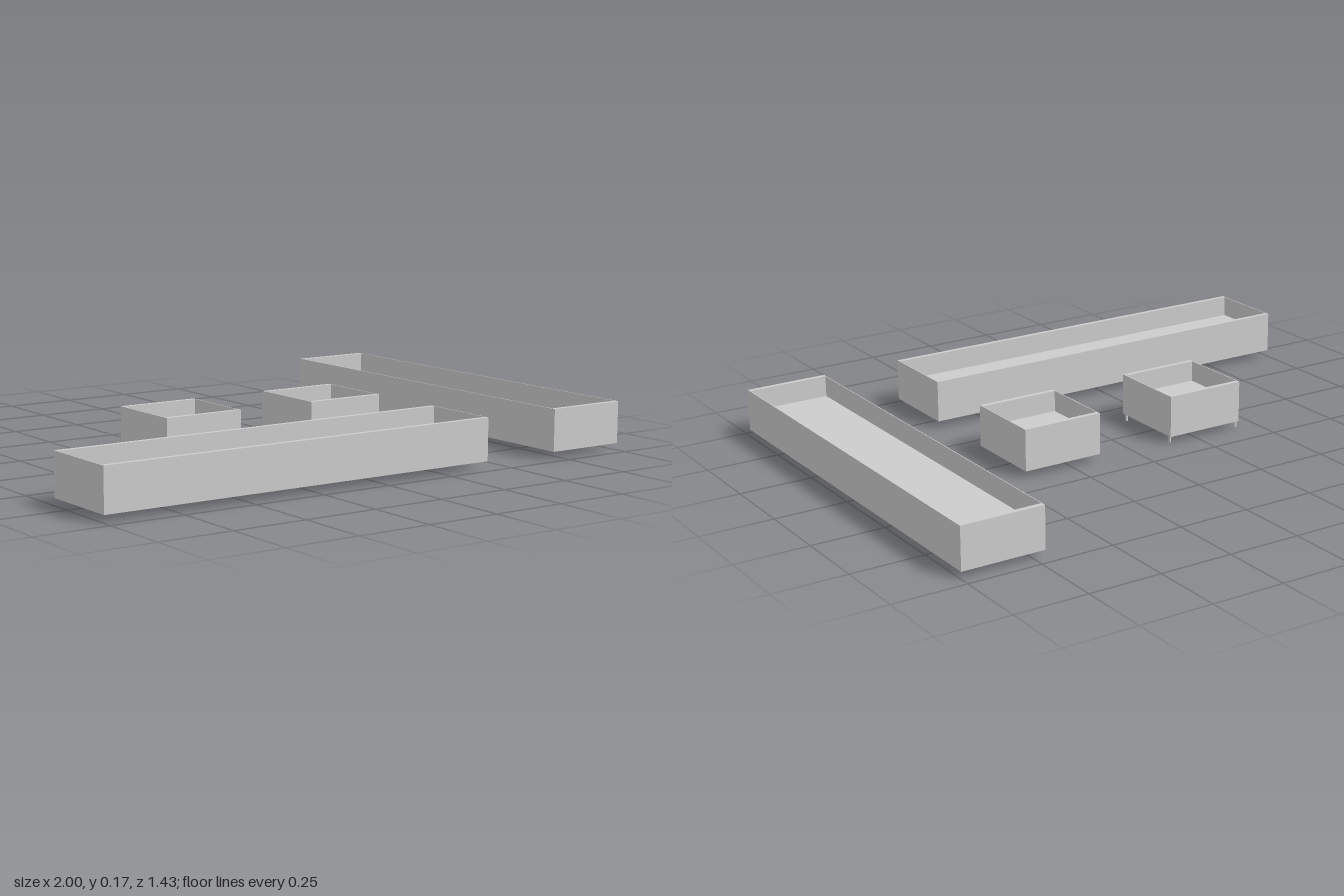
import * as THREE from 'three';

const BASE = 0.024, TOP = 0.167, FLOOR = 0.095; // heights
const SIDE = 0.016, END = 0.003;                // wall thickness along z and x
const mat = new THREE.MeshStandardMaterial({ color: 0xcccccc, flatShading: true });

function box(name, w, h, d, x, y, z) {
  const mesh = new THREE.Mesh(new THREE.BoxGeometry(w, h, d), mat);
  mesh.name = name;
  mesh.position.set(x, y, z);
  return mesh;
}

// Open-topped planter: two thick walls, two thin end panels and a raised bed
function planter(name, w, d, x, z) {
  const g = new THREE.Group();
  g.name = name;
  g.position.set(x, 0, z);
  const h = TOP - BASE, y = (TOP + BASE) / 2;
  for (const s of [-1, 1]) {
    g.add(box(s > 0 ? 'frontWall' : 'backWall', w, h, SIDE, 0, y, s * (d - SIDE) / 2));
    g.add(box(s > 0 ? 'leftWall' : 'rightWall', END, h, d - 2 * SIDE, s * (w - END) / 2, y, 0));
  }
  g.add(box('bed', w - 2 * END, FLOOR - BASE, d - 2 * SIDE, 0, (FLOOR + BASE) / 2, 0));
  return g;
}

export function createModel() {
  const model = new THREE.Group();
  model.name = 'planters';
  const S = 0.286, L = 1.428;

  model.add(planter('frontPlanter', L, S, -0.286, 0.571));
  model.add(planter('sidePlanter', S, L, 0.857, 0));
  model.add(planter('leftSmallPlanter', S, S, 0.286, 0));

  // Only this planter stands on small feet
  const footed = planter('rightSmallPlanter', S, S, -0.286, 0);
  for (const x of [-0.139, 0.136])
    for (const z of [-0.129, 0.129])
      footed.add(box('foot', 0.006, BASE, 0.007, x, BASE / 2, z));
  model.add(footed);

  return model;
}
